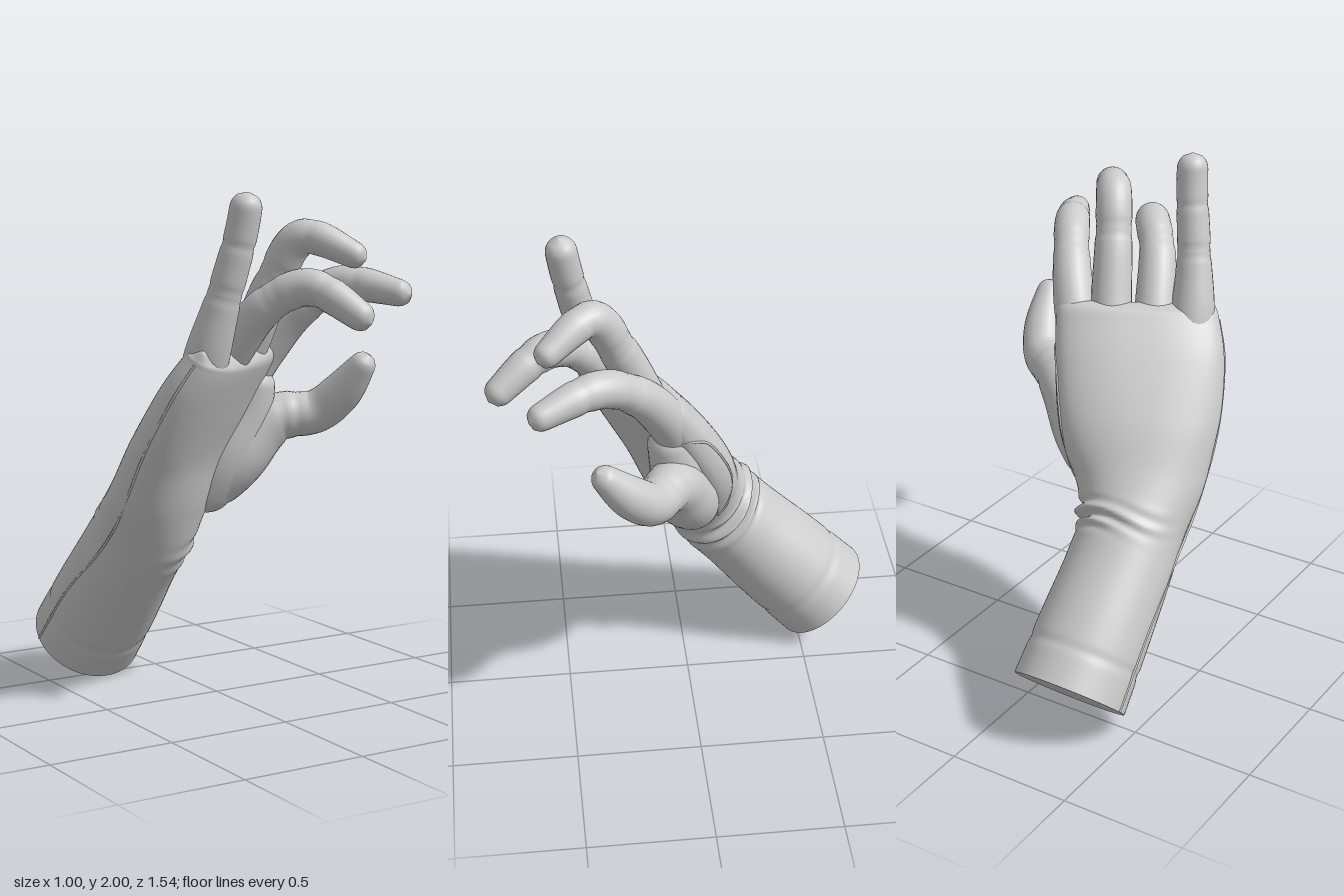
import * as THREE from 'three';

const V = (a) => new THREE.Vector3(...a);
const spline = (pts, type = 'catmullrom') => new THREE.CatmullRomCurve3(pts.map(V), false, type);
const material = new THREE.MeshStandardMaterial({ color: 0xcccccc });

function addMesh(group, name, geometry) {
  const mesh = new THREE.Mesh(geometry, material);
  mesh.name = name;
  group.add(mesh);
  return mesh;
}

// Smooth skin over rings given by surface(s, angle)
function loft(surface, rows, sides) {
  const pos = [], index = [];
  for (let i = 0; i <= rows; i++)
    for (let j = 0; j < sides; j++) pos.push(...surface(i / rows, (j / sides) * Math.PI * 2).toArray());
  for (let i = 0; i < rows; i++)
    for (let j = 0; j < sides; j++) {
      const a = i * sides + j, b = i * sides + ((j + 1) % sides);
      index.push(a, a + sides, b, b, a + sides, b + sides);
    }
  const g = new THREE.BufferGeometry();
  g.setAttribute('position', new THREE.Float32BufferAttribute(pos, 3));
  g.setIndex(index);
  g.computeVertexNormals();
  return g;
}

// Sections from cuff to knuckles: centre, width direction, half width and half thickness
const sections = [
  [[-0.265, 0.15, -0.605], [1, 0, 0], [0.228, 0.225, 0]],
  [[-0.265, 0.35, -0.42], [1, 0, 0], [0.22, 0.215, 0]],
  [[-0.265, 0.53, -0.255], [0.97, 0.02, -0.2], [0.21, 0.2, 0]],
  [[-0.255, 0.67, -0.135], [0.92, 0.05, -0.35], [0.21, 0.195, 0]],
  [[-0.23, 0.83, -0.04], [0.88, 0.07, -0.46], [0.26, 0.17, 0]],
  [[-0.18, 1.02, 0.035], [0.86, 0.08, -0.5], [0.315, 0.145, 0]],
  [[-0.12, 1.22, 0.135], [0.86, 0.08, -0.5], [0.332, 0.125, 0]],
  [[-0.065, 1.36, 0.205], [0.86, 0.08, -0.5], [0.322, 0.105, 0]],
  [[-0.045, 1.43, 0.24], [0.86, 0.08, -0.5], [0.318, 0.092, 0]],
];
const [centres, widths, sizes] = [0, 1, 2].map((k) => spline(sections.map((s) => s[k])));
const spow = (x, e) => Math.sign(x) * Math.abs(x) ** e;

// Point on the sleeve and palm; angle 0 is the thumb side, +90 degrees the palm
function handSurface(s, a) {
  const t = centres.getTangent(s);
  const u = widths.getPoint(s);
  u.addScaledVector(t, -u.dot(t)).normalize();
  const v = new THREE.Vector3().crossVectors(u, t);
  const size = sizes.getPoint(s);
  const round = THREE.MathUtils.lerp(1, 0.8, THREE.MathUtils.smoothstep(s, 0.4, 0.8));
  const end = Math.sqrt(Math.max(0, 1 - Math.max(0, (s - 0.9) / 0.1) ** 2));
  // Bunched cloth at the wrist, strongest on the thumb side, and a cuff hem
  const mask = Math.exp(-(((s - 0.37) / 0.04) ** 2)) * (0.5 + 0.5 * Math.cos(a + 0.3)) ** 2;
  const fold = 0.024 * mask * Math.sin(s * 120 + 1.5 * Math.sin(a * 2) + Math.cos(a * 3));
  const hem = -0.005 * Math.exp(-(((s - 0.07) / 0.008) ** 2));
  return centres.getPoint(s)
    .addScaledVector(u, spow(Math.cos(a), round) * (size.x + fold + hem) * (0.93 + 0.07 * end))
    .addScaledVector(v, spow(Math.sin(a), round) * (size.y + fold + hem) * end);
}

// Round-ended finger along a path; creases are path fractions where the cloth pinches
function finger(points, radii, creases = []) {
  const rows = 64;
  const path = spline(points, 'centripetal');
  const frames = path.computeFrenetFrames(rows);
  const length = path.getLength();
  const radius = spline(radii.map((r, i) => [i, r, 0]));
  const dome = (distance, r) => Math.sqrt(1 - Math.max(0, 1 - distance / r) ** 2);
  return loft((s, a) => {
    const i = Math.round(s * rows);
    const u = frames.normals[i];
    const v = new THREE.Vector3().crossVectors(u, frames.tangents[i]);
    let r = radius.getPoint(s).y * dome(s * length, radii[0]) * dome((1 - s) * length, radii.at(-1));
    for (const c of creases) r -= 0.004 * Math.exp(-(((s - c) / 0.018) ** 2));
    r = Math.max(r, 0.0005);
    return path.getPointAt(s).addScaledVector(u, r * Math.cos(a)).addScaledVector(v, r * Math.sin(a));
  }, rows, 24);
}

// Raised stitching line lying on the hand
function seam(points) {
  const path = spline(points.map(([s, a]) => handSurface(s, a).toArray()));
  return new THREE.TubeGeometry(path, 48, 0.005, 6);
}

export function createModel() {
  const hand = new THREE.Group();
  hand.name = 'glovedHand';

  addMesh(hand, 'sleeveAndPalm', loft(handSurface, 150, 64));

  // Flat cut end of the wrist
  const cap = addMesh(hand, 'wristEnd', new THREE.CircleGeometry(0.2265, 48));
  cap.position.copy(centres.getPoint(0));
  cap.lookAt(cap.position.clone().sub(centres.getTangent(0)));

  // Four fingers, each from inside the palm to its tip
  const fingers = {
    littleFinger: [[[-0.26, 1.2, 0.26], [-0.24, 1.42, 0.335], [-0.2, 1.66, 0.4], [-0.165, 1.85, 0.44], [-0.15, 2.0, 0.465]],
      [0.08, 0.086, 0.069, 0.063, 0.06]],
    ringFinger: [[[-0.15, 1.22, 0.17], [-0.1, 1.41, 0.28], [-0.03, 1.58, 0.41], [0.07, 1.65, 0.54], [0.195, 1.525, 0.76]],
      [0.078, 0.08, 0.073, 0.068, 0.05]],
    middleFinger: [[[-0.02, 1.22, 0.1], [0.04, 1.43, 0.18], [0.085, 1.64, 0.265], [0.15, 1.825, 0.37], [0.3, 1.745, 0.575]],
      [0.078, 0.08, 0.074, 0.068, 0.045]],
    indexFinger: [[[0.08, 1.2, 0.04], [0.165, 1.39, 0.11], [0.245, 1.54, 0.21], [0.34, 1.643, 0.36], [0.48, 1.61, 0.62]],
      [0.075, 0.082, 0.074, 0.068, 0.046]],
  };
  for (const [name, [points, radii]] of Object.entries(fingers))
    addMesh(hand, name, finger(points, radii, [0.52, 0.56, 0.76]));

  // Thumb, and the fleshy pad that joins it to the palm and index finger
  addMesh(hand, 'thumb', finger(
    [[-0.05, 0.78, -0.05], [0.08, 0.96, 0.025], [0.21, 1.1, 0.085], [0.355, 1.13, 0.175], [0.41, 1.2, 0.25], [0.46, 1.365, 0.385]],
    [0.09, 0.125, 0.11, 0.088, 0.079, 0.042], [0.5, 0.56]));
  addMesh(hand, 'thumbPad', finger(
    [[-0.07, 0.74, -0.06], [0.03, 0.97, 0.02], [0.1, 1.14, 0.06], [0.13, 1.32, 0.1]], [0.09, 0.12, 0.105, 0.075]));

  // Stitching along the outer edge and round the thumb base
  addMesh(hand, 'outerSeam', seam([0, 0.15, 0.3, 0.45, 0.6, 0.75, 0.88].map((s) => [s, Math.PI])));
  addMesh(hand, 'thumbSeam', seam([[0.47, 0.3], [0.52, 0], [0.62, -0.25], [0.74, -0.2], [0.82, 0.1], [0.83, 0.5]]));

  return hand;
}
